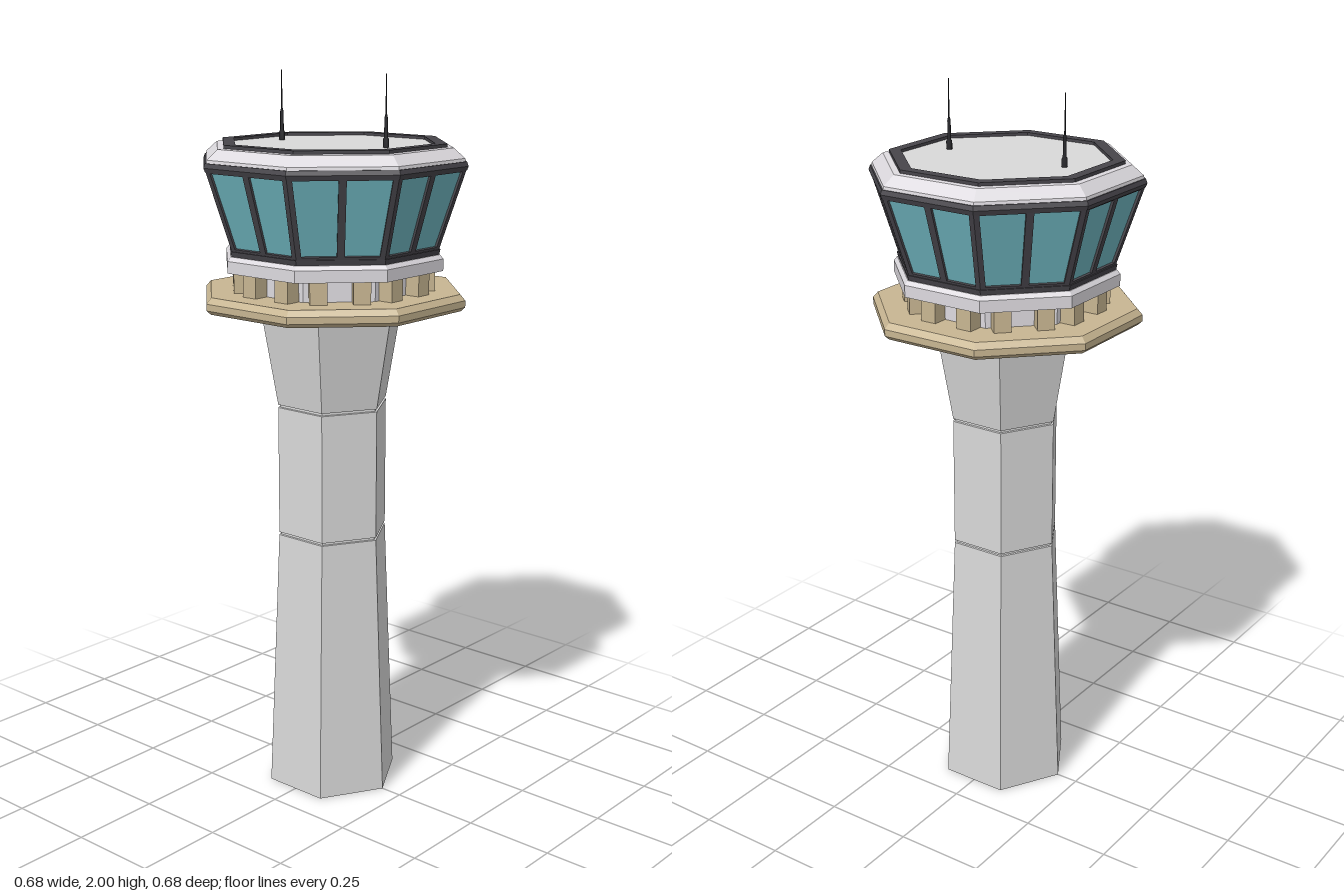
import * as THREE from 'three';

const mat = (name, color) => {
  const m = new THREE.MeshStandardMaterial({ color });
  m.name = name;
  return m;
};

export function createModel() {
  const concrete = mat('concrete', 0xd9d9d9);
  const trim = mat('pale trim', 0xdddadf);
  const tan = mat('tan stone', 0xc8b692);
  const dark = mat('dark frame', 0x47454b);
  const glass = mat('teal glass', 0x72bac4);
  const black = mat('antenna black', 0x26262a);

  const tower = new THREE.Group();
  tower.name = 'controlTower';

  const add = (name, geometry, material, parent = tower) => {
    const mesh = new THREE.Mesh(geometry, material);
    mesh.name = name;
    parent.add(mesh);
    return mesh;
  };

  // Faceted prism from a profile of [apothem, y], with a flat side facing +z
  const prism = (sides, profile) => {
    const k = 1 / Math.cos(Math.PI / sides);
    const pts = profile.map(([a, y]) => new THREE.Vector2(a * k, y));
    const g = new THREE.LatheGeometry(pts, sides, Math.PI / sides).toNonIndexed();
    g.computeVertexNormals();
    return g;
  };

  // Hexagonal shaft with two narrow grooves and a flared head
  add('shaft', prism(6, [
    [0, 0], [0.163, 0], [0.136, 0.742], [0.131, 0.743], [0.131, 0.749], [0.136, 0.75],
    [0.136, 1.107], [0.131, 1.108], [0.131, 1.114], [0.136, 1.115],
    [0.178, 1.39], [0, 1.39],
  ]), concrete);

  // Octagonal balcony
  add('balcony', prism(8, [
    [0, 1.385], [0.33, 1.385], [0.341, 1.396], [0.341, 1.414], [0.328, 1.43], [0, 1.43],
  ]), tan);

  // Wall behind the blocks and ledge above them
  add('lowerWall', prism(8, [[0.225, 1.42], [0.225, 1.5]]), trim);
  add('ledge', prism(8, [
    [0, 1.49], [0.284, 1.49], [0.284, 1.522], [0.275, 1.533], [0, 1.533],
  ]), trim);

  // Cabin: sill, glass body and head band
  const low = { a: 0.272, y: 1.545 }, high = { a: 0.338, y: 1.76 };
  add('sill', prism(8, [[0, 1.528], [0.272, 1.528], [0.276, 1.547], [0, 1.547]]), dark);
  add('windowGlass', prism(8, [[low.a - 0.007, low.y], [high.a - 0.007, high.y]]), glass);
  add('headBand', prism(8, [
    [0, 1.755], [0.338, 1.755], [0.342, 1.766], [0.338, 1.778], [0, 1.778],
  ]), dark);

  // Window frame of one face: a leaning plate with two openings
  const t = Math.tan(Math.PI / 8);
  const slope = Math.hypot(high.a - low.a, high.y - low.y);
  const halfWidth = v => THREE.MathUtils.lerp(low.a, high.a, v / slope) * t;
  const quad = (Type, pts) => new Type(pts.map(p => new THREE.Vector2(...p)));
  const frame = quad(THREE.Shape, [
    [-halfWidth(0), 0], [halfWidth(0), 0], [halfWidth(slope), slope], [-halfWidth(slope), slope],
  ]);
  const v0 = 0.009, v1 = slope - 0.008;
  for (const s of [-1, 1]) {
    frame.holes.push(quad(THREE.Path, [
      [s * 0.01, v0], [s * (halfWidth(v0) - 0.014), v0],
      [s * (halfWidth(v1) - 0.014), v1], [s * 0.01, v1],
    ]));
  }
  const frameGeo = new THREE.ExtrudeGeometry(frame, { depth: 0.009, bevelEnabled: false });
  frameGeo.translate(0, 0, -0.009);
  frameGeo.rotateX(Math.atan2(high.a - low.a, high.y - low.y));
  frameGeo.translate(0, low.y, low.a);

  // Each of the eight sides has a window frame and two support blocks
  const blockGeo = new THREE.BoxGeometry(0.045, 0.075, 0.05);
  for (let i = 0; i < 8; i++) {
    const side = new THREE.Group();
    side.name = 'side' + (i + 1);
    side.rotation.y = i * Math.PI / 4;
    tower.add(side);
    add('windowFrame', frameGeo, dark, side);
    for (const s of [-1, 1]) {
      add('supportBlock', blockGeo, tan, side).position.set(s * 0.056, 1.46, 0.243);
    }
  }

  // Roof: bevelled edge, dark kerb and flat deck
  add('roofEdge', prism(8, [
    [0, 1.776], [0.335, 1.776], [0.333, 1.786], [0.305, 1.812], [0.28, 1.814],
  ]), trim);
  add('roofKerb', prism(8, [
    [0.289, 1.805], [0.289, 1.822], [0.259, 1.822], [0.259, 1.805],
  ]), dark);
  add('roofDeck', prism(8, [[0.265, 1.814], [0, 1.814]]), concrete);

  // Two antennas with a thicker foot and a thin spike
  const mast = new THREE.LatheGeometry([
    [0.008, 1.81], [0.008, 1.835], [0.005, 1.84], [0.0045, 1.89], [0.002, 1.9], [0.001, 2], [0, 2],
  ].map(p => new THREE.Vector2(...p)), 8);
  for (const s of [-1, 1]) {
    add(s > 0 ? 'leftAntenna' : 'rightAntenna', mast, black).position.x = s * 0.181;
  }

  return tower;
}
